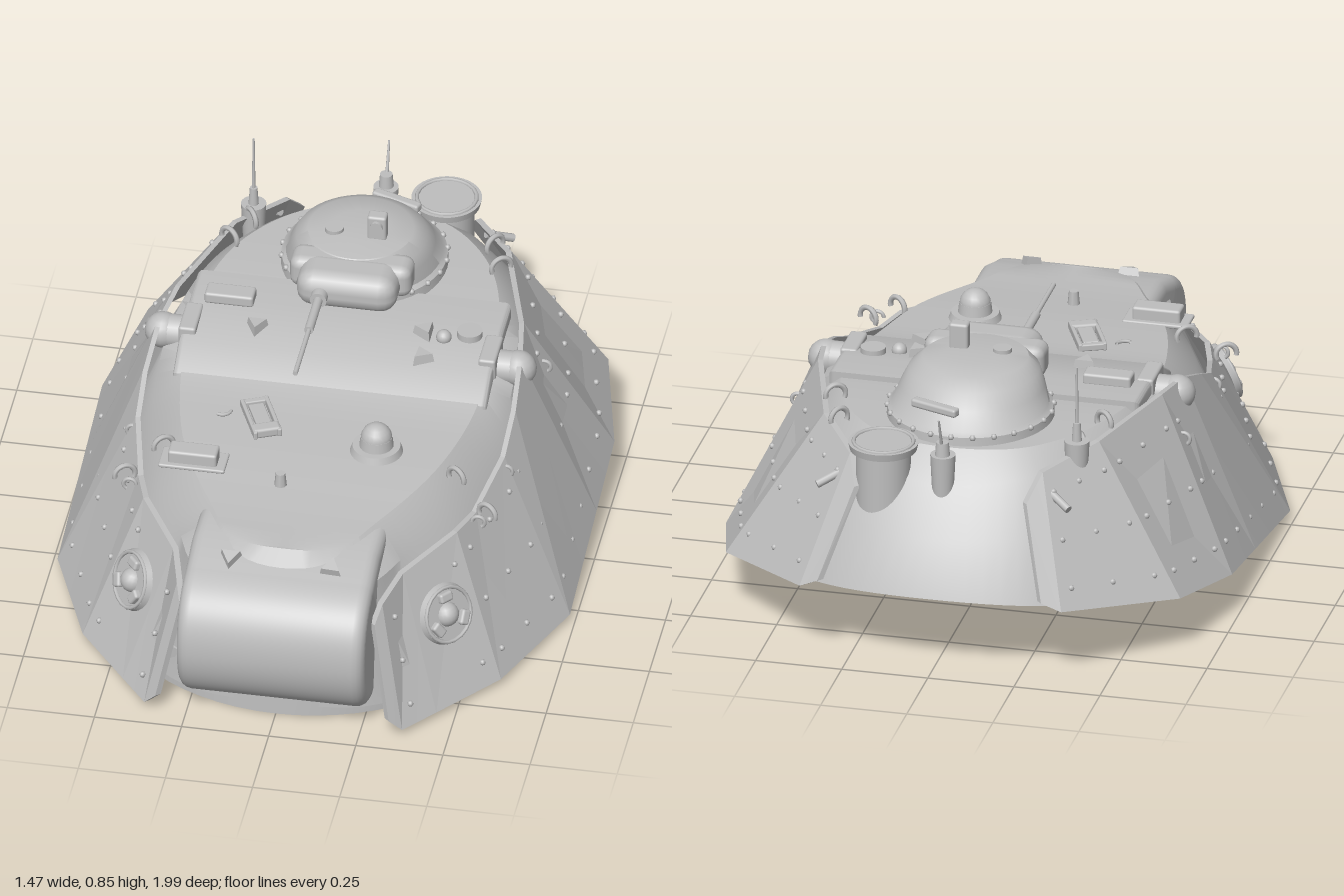
import * as THREE from 'three';
import { mergeGeometries, toCreasedNormals } from 'three/addons/utils/BufferGeometryUtils.js';
import { RoundedBoxGeometry } from 'three/addons/geometries/RoundedBoxGeometry.js';

const V = (x, y, z) => new THREE.Vector3(x, y, z);
const steel = new THREE.MeshStandardMaterial({ color: 0xbebebe, side: THREE.DoubleSide });
steel.name = 'light grey steel';

// Joins rows of points, each row a closed loop
function loft(rows, flip, crease) {
  const n = rows[0].length, pos = [], idx = [];
  rows.forEach(r => r.forEach(p => pos.push(p.x, p.y, p.z)));
  for (let i = 0; i < rows.length - 1; i++) for (let j = 0; j < n; j++) {
    const a = i * n + j, b = i * n + (j + 1) % n, c = b + n, d = a + n;
    idx.push(...(flip ? [a, c, b, a, d, c] : [a, b, c, a, c, d]));
  }
  const g = new THREE.BufferGeometry();
  g.setAttribute('position', new THREE.Float32BufferAttribute(pos, 3));
  g.setIndex(idx);
  return toCreasedNormals(g, crease);
}

const at = (g, x, y, z, rx = 0, ry = 0, rz = 0) => g.applyMatrix4(
  new THREE.Matrix4().makeRotationFromEuler(new THREE.Euler(rx, ry, rz)).setPosition(x, y, z));
const box = (w, h, d, r = 0.008) => new RoundedBoxGeometry(w, h, d, 2, r);
const cyl = (r0, r1, h, n = 24) => new THREE.CylinderGeometry(r0, r1, h, n);
const ball = (r, n = 20) => new THREE.SphereGeometry(r, n, Math.ceil(n / 2));
const ringGeo = (r, t, arc = Math.PI * 2) => new THREE.TorusGeometry(r, t, 6, 20, arc);

function plain(g) {
  const p = g.index ? g.toNonIndexed() : g.clone();
  p.deleteAttribute('uv');
  p.clearGroups();
  return p;
}

function mirrored(g) {
  const m = g.clone().scale(-1, 1, 1);
  for (const a of [m.attributes.position, m.attributes.normal]) {
    for (let i = 0; i < a.count; i += 3) {
      const p = V().fromBufferAttribute(a, i + 1), q = V().fromBufferAttribute(a, i + 2);
      a.setXYZ(i + 1, q.x, q.y, q.z);
      a.setXYZ(i + 2, p.x, p.y, p.z);
    }
  }
  return m;
}

export function createModel() {
  const model = new THREE.Group();
  model.name = 'hoverTank';
  function add(name, geos, both = false) {
    const g = mergeGeometries([].concat(geos).map(plain));
    const list = both ? [['left ', g], ['right ', mirrored(g)]] : [['', g]];
    for (const [side, geo] of list) {
      const mesh = new THREE.Mesh(geo, steel);
      mesh.name = side + name;
      model.add(mesh);
    }
  }

  // Hull: smooth rings from the sloping floor up to the deck, front to back
  const floor = [[0, .03, .88], [.25, .03, .85], [.42, .03, .72], [.58, .03, .5], [.66, .04, .2],
    [.68, .08, -.1], [.66, .13, -.42], [.55, .185, -.72], [.3, .225, -.93], [0, .24, -.99]];
  const shoulder = [[0, .43, .86], [.23, .42, .82], [.33, .41, .62], [.43, .43, .4], [.49, .46, .15],
    [.5, .53, -.12], [.45, .56, -.4], [.37, .56, -.58], [.23, .54, -.76], [0, .52, -.83]];
  const deck = [[0, .49, .77], [.15, .49, .74], [.24, .495, .6], [.36, .515, .36], [.42, .53, .1],
    [.43, .565, -.07], [.41, .595, -.36], [.33, .6, -.56], [.19, .6, -.7], [0, .6, -.74]];
  const mid = floor.map((p, i) => {
    const bulge = i > 6 ? 1.03 : 1;
    return p.map((c, k) => (c * .45 + shoulder[i][k] * .55) * (k === 1 ? 1 : bulge));
  });
  const ring = half => {
    const pts = half.map(p => V(...p));
    const back = half.slice(1, -1).reverse().map(p => V(-p[0], p[1], p[2]));
    const c = new THREE.CatmullRomCurve3([...pts, ...back], true);
    return Array.from({ length: 108 }, (_, i) => c.getPoint(i / 108));
  };
  const spine = r => r.map(p => V(0, p.y, p.z));
  const rows = [floor, mid, shoulder, deck].map(ring);
  add('hull', loft([spine(rows[0]), ...rows, spine(rows[3])], false, 0.6));

  // Extrusions across the width, drawn as (z, y)
  function across(shape, width, bevel) {
    const g = new THREE.ExtrudeGeometry(shape, { depth: width - 2 * bevel, bevelSize: bevel,
      bevelThickness: bevel, bevelOffset: -bevel, bevelSegments: 4, curveSegments: 24 });
    g.translate(0, 0, bevel - width / 2).rotateY(-Math.PI / 2);
    return toCreasedNormals(g, 0.6);
  }
  const nose = new THREE.Shape();
  nose.moveTo(.55, .05);
  nose.lineTo(.84, .05);
  nose.bezierCurveTo(.95, .06, 1, .16, 1, .25);
  nose.bezierCurveTo(1, .36, .95, .43, .84, .45);
  nose.lineTo(.74, .485);
  nose.lineTo(.55, .485);
  add('nose', across(nose, .54, .035));
  const plate = new THREE.Shape([[.07, .48], [.06, .535], [-.03, .588], [-.22, .61], [-.34, .61], [-.34, .48]]
    .map(p => new THREE.Vector2(...p)));
  add('raised deck plate', across(plate, .9, .015));

  // Underside: oval base and small rear blister
  const base = cyl(1.08, 1, .13, 64).scale(.59, 1, .58).translate(0, .065, .31);
  const bp = base.attributes.position;
  for (let i = 0; i < bp.count; i++) bp.setZ(i, bp.getZ(i) - bp.getY(i) * .4);
  add('oval base', toCreasedNormals(base, .5));
  add('rear blister', at(cyl(.24, .14, .13, 40), 0, .135, -.35));

  // Skirt armour: columns of [bottom, top] running front to back
  const A0 = [V(.335, .06, .95), V(.28, .33, .87)], A1 = [V(.37, .02, .93), V(.295, .375, .83)];
  const A2 = [V(.45, .02, .83), V(.33, .395, .7)], B = [V(.6, .02, .64), V(.45, .42, .51)];
  const C = [V(.735, .02, .3), V(.53, .47, .2)], D = [V(.735, .13, -.39), V(.5, .605, -.26)];
  const E = [V(.66, .185, -.7), V(.4, .6, -.6)], F = [V(.38, .232, -.97), V(.28, .57, -.78)];
  const G = [V(.325, .26, -.985), V(.25, .5, -.85)];
  const between = (p, q, t, top) => [p[0].clone().lerp(q[0], t), top];
  const columns = [A0, A1, A2, B, between(B, C, .35, V(.485, .415, .4)), C,
    between(C, D, .25, V(.535, .53, .06)), between(C, D, .6, V(.525, .59, -.1)), D, E, F, G];
  const inner = p => V(p.x - .014, p.y, p.z * .985);
  const loops = columns.map(([b, t]) => [b, t, inner(t), inner(b)]);
  const cap = ([b, t, ti, bi]) => [bi, ti, ti, bi];
  add('skirt armour', loft([cap(loops[0]), ...loops, cap(loops.at(-1))], true, 0.05), true);

  // Rivets on each skirt panel
  const rivets = [];
  for (const [p, q, us] of [[A1, B, [.12, .88]], [B, C, [.12, .5, .88]], [C, D, [.08, .3, .5, .72, .92]],
    [D, E, [.12, .5, .88]], [E, F, [.12, .5, .88]]]) {
    for (const u of us) for (const v of [.16, .5, .84]) {
      const a = p[0].clone().lerp(q[0], u), b = p[1].clone().lerp(q[1], u);
      const c = a.lerp(b, v);
      rivets.push(at(ball(.009, 8), c.x, c.y, c.z));
    }
  }
  add('skirt rivets', rivets, true);

  // Round boss with three lugs on the front skirt panel
  const boss = [at(cyl(.085, .09, .016, 32), 0, 0, 0, Math.PI / 2), at(ringGeo(.08, .006), 0, 0, .01), ball(.036)];
  for (let i = 0; i < 3; i++) {
    const a = Math.PI / 2 + i * Math.PI * 2 / 3;
    boss.push(at(box(.03, .045, .025), Math.cos(a) * .055, Math.sin(a) * .055, .012, 0, 0, a));
  }
  const out = B[0].clone().sub(A1[0]).cross(A1[1].clone().sub(A1[0])).normalize();
  if (out.x < 0) out.negate();
  const turn = new THREE.Matrix4().lookAt(out, V(0, 0, 0), V(0, 1, 0));
  const mid0 = A1[0].clone().lerp(B[0], .65).lerp(A1[1].clone().lerp(B[1], .65), .6).addScaledVector(out, .006);
  add('skirt boss', boss.map(g => g.applyMatrix4(turn.clone().setPosition(mid0))), true);

  // Side lamps and lifting hooks
  add('side lamp', [at(cyl(.048, .048, .1), .465, .55, -.12, 0, 0, Math.PI / 2), at(ball(.052), .51, .55, -.12),
    at(box(.05, .07, .13), .43, .575, -.12)], true);
  const hooks = [[.39, .615, -.5, .6], [.42, .5, .36, -.6], [.52, .43, .42, -.5], [.35, .6, -.62, .9]];
  add('lifting hooks', hooks.map(([x, y, z, r]) => at(ringGeo(.03, .008, Math.PI * 1.2), x, y, z, 0, r, -.2)), true);
  add('skirt hooks', [[.535, .43, .21], [.56, .47, -.25], [.5, .42, .45]].map(([x, y, z]) =>
    at(ringGeo(.018, .006, Math.PI * 1.3), x, y, z, 0, 0, -1)), true);
  add('rear brackets', at(cyl(.012, .012, .09, 8), .33, .5, -.8, .9, 0, .9), true);

  // Turret: dome pulled forward at the top, on a bolted ring
  const profile = [[.238, .59], [.235, .625], [.222, .635], [.205, .68], [.185, .72], [.15, .748], [.08, .757], [0, .758]]
    .map(p => new THREE.Vector2(...p));
  const dome = new THREE.LatheGeometry(profile, 48);
  const dp = dome.attributes.position;
  for (let i = 0; i < dp.count; i++) dp.setZ(i, dp.getZ(i) - .49 + Math.max(0, dp.getY(i) - .63) * .5);
  add('turret dome', toCreasedNormals(dome, .6));
  const bolts = [];
  for (let i = 0; i < 24; i++) {
    const a = i * Math.PI / 12;
    bolts.push(at(ball(.009, 8), Math.sin(a) * .235, .625, -.49 + Math.cos(a) * .235));
  }
  add('turret ring bolts', bolts);
  add('gun mantlet', [at(box(.35, .1, .1, .03), 0, .695, -.3), at(box(.29, .115, .15, .05), 0, .69, -.245)]);
  const tube = (r, z0, z1) => at(cyl(r, r, z1 - z0, 16), -.07, .69, (z0 + z1) / 2, Math.PI / 2);
  add('gun barrel', [tube(.007, -.2, .21), tube(.013, -.2, 0), tube(.024, -.24, -.145)]);
  add('periscope', [at(box(.055, .08, .04), .055, .79, -.395), at(cyl(.018, .018, .05), .055, .8, -.39, Math.PI / 2)]);
  add('turret sight', at(cyl(.027, .027, .02), -.07, .757, -.4));
  add('turret stowage bar', at(box(.15, .025, .03), .06, .685, -.665, 0, -.35, 0));

  // Rear stack, antennas and their pots
  add('rear stack', [at(cyl(.078, .078, .2, 32), .18, .51, -.79), at(cyl(.1, .095, .022, 40), .18, .612, -.79),
    at(ringGeo(.085, .006), .18, .623, -.79, Math.PI / 2)]);
  add('rear antenna', [at(cyl(.036, .03, .13), 0, .55, -.82), at(cyl(.018, .022, .05), 0, .63, -.825),
    at(cyl(.003, .006, .14, 8), 0, .675, -.845, -.36)]);
  add('tall antenna', [at(cyl(.036, .03, .12), -.35, .565, -.66), at(cyl(.011, .015, .06, 12), -.35, .65, -.66),
    at(cyl(.003, .006, .22, 8), -.35, .74, -.66)]);

  // Deck fittings
  add('deck dome lamp', [at(cyl(.068, .075, .02, 32), .18, .53, .3), at(cyl(.045, .05, .04), .18, .55, .3),
    at(ball(.045), .18, .565, .3)]);
  add('deck boxes', [at(box(.14, .035, .06), -.335, .622, -.22), at(box(.14, .05, .06), -.32, .53, .43),
    at(box(.19, .012, .09, .005), -.32, .512, .43)]);
  add('deck cap', [at(cyl(.036, .036, .02), .36, .613, -.175), at(ball(.022), .29, .608, -.15)]);
  const lugs = [[-.24, .607, -.11, 0], [.235, .615, -.16, .5], [.245, .602, -.055, 1.5], [-.145, .468, .81, 0], [.145, .468, .81, 1]];
  add('triangular lugs', lugs.map(([x, y, z, r]) => at(toCreasedNormals(cyl(.03, .037, .03, 3), .3), x, y, z, y < .5 ? .35 : 0, r, 0)));
  const frame = [box(.012, .025, .17, .004).translate(-.035, 0, 0), box(.012, .025, .17, .004).translate(.035, 0, 0),
    box(.08, .02, .02, .004).translate(0, 0, -.075), box(.08, .03, .04).translate(0, 0, .06),
    box(.045, .015, .12, .004)];
  add('folded rack', frame.map(g => at(g, -.165, .535, .225, 0, .42, 0)));
  add('tow rope end', at(ringGeo(.025, .005, 2), -.28, .53, .2, Math.PI / 2));
  add('deck stud', at(cyl(.014, .018, .04, 8), -.06, .525, .49));

  return model;
}
